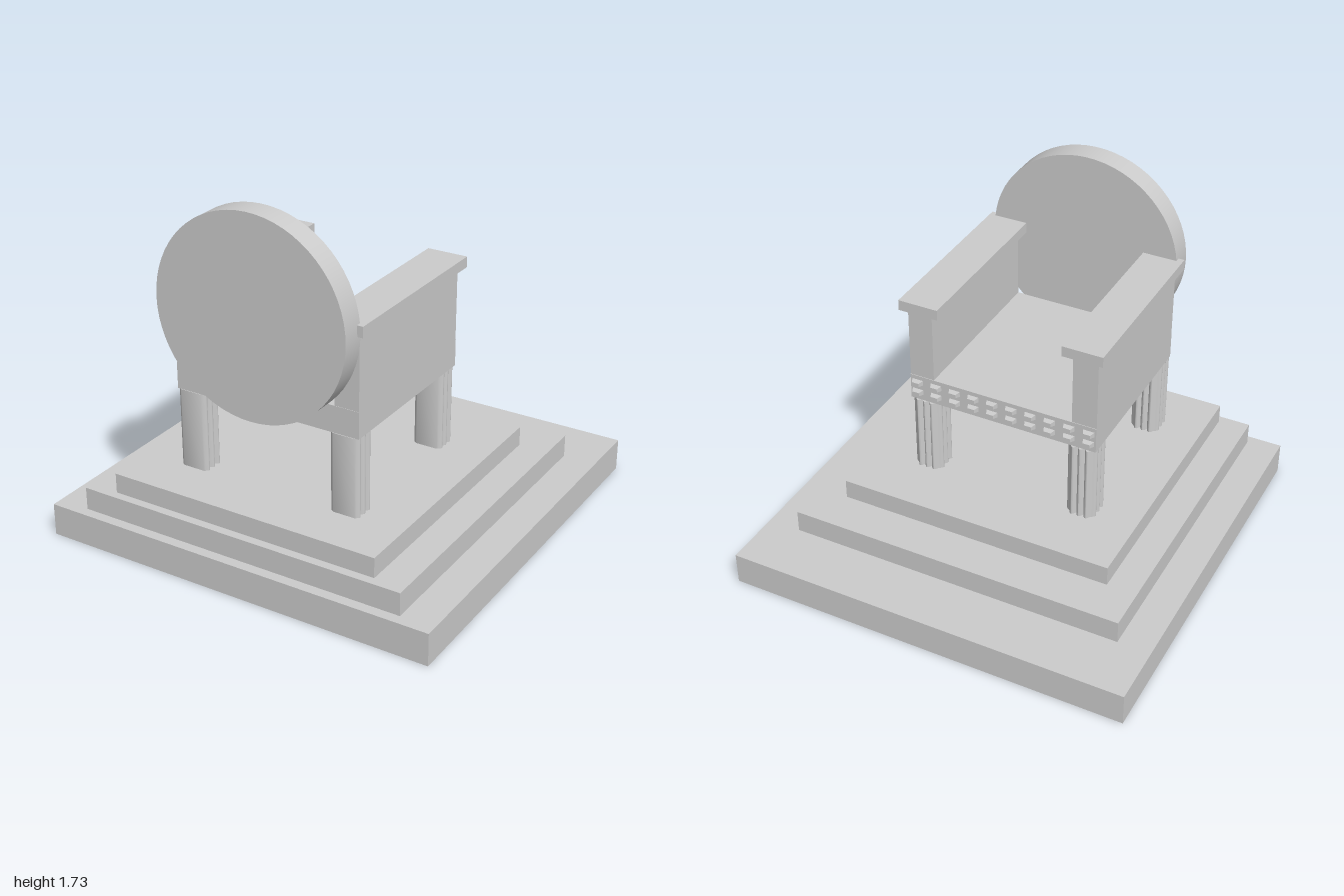
import * as THREE from 'three';
import { toCreasedNormals } from 'three/addons/utils/BufferGeometryUtils.js';

const material = new THREE.MeshStandardMaterial({ color: 0xcccccc });

function add(parent, name, geometry, x = 0, y = 0, z = 0) {
  const mesh = new THREE.Mesh(geometry, material);
  mesh.name = name;
  mesh.position.set(x, y, z);
  parent.add(mesh);
  return mesh;
}

// Box given by its limits on each axis
function slab(parent, name, [x0, x1], [y0, y1], [z0, z1]) {
  return add(parent, name, new THREE.BoxGeometry(x1 - x0, y1 - y0, z1 - z0),
    (x0 + x1) / 2, (y0 + y1) / 2, (z0 + z1) / 2);
}

// Square post with rounded reeds on three sides and a plain +z face
function reededPost(width, depth, height) {
  const bulge = 0.02, reeds = 3, steps = 8;
  const a = width / 2 - bulge, bottom = -depth / 2, top = depth / 2 - bulge;
  const corners = [[a, bottom], [a, top], [-a, top], [-a, bottom]];
  const points = [];
  for (let side = 0; side < 3; side++) {
    const [x0, y0] = corners[side], [x1, y1] = corners[side + 1];
    const length = Math.hypot(x1 - x0, y1 - y0);
    const nx = (y1 - y0) / length, ny = -(x1 - x0) / length;
    for (let i = 0; i < reeds * steps; i++) {
      const t = i / (reeds * steps);
      const out = bulge * Math.abs(Math.sin(t * reeds * Math.PI));
      points.push(new THREE.Vector2(x0 + (x1 - x0) * t + nx * out, y0 + (y1 - y0) * t + ny * out));
    }
  }
  points.push(new THREE.Vector2(-a, bottom));
  const geometry = new THREE.ExtrudeGeometry(new THREE.Shape(points), { depth: height, bevelEnabled: false });
  geometry.rotateX(-Math.PI / 2);
  return toCreasedNormals(geometry, 0.9);
}

export function createModel() {
  const model = new THREE.Group();
  model.name = 'throne';
  const cx = -0.0125; // the chair sits slightly off the middle of the dais

  // Stepped dais
  const dais = new THREE.Group();
  dais.name = 'dais';
  model.add(dais);
  slab(dais, 'lowerStep', [-1, 1], [0, 0.16], [-0.985, 0.985]);
  slab(dais, 'middleStep', [-0.838, 0.835], [0.16, 0.272], [-0.695, 0.935]);
  slab(dais, 'upperStep', [-0.69, 0.685], [0.272, 0.37], [-0.49, 0.893]);

  const chair = new THREE.Group();
  chair.name = 'chair';
  model.add(chair);

  // Legs
  const legGeometry = reededPost(0.148, 0.137, 0.39);
  for (const side of [-1, 1]) {
    add(chair, 'frontLeg', legGeometry, cx + side * 0.404, 0.37, -0.153);
    add(chair, 'backLeg', legGeometry, cx + side * 0.404, 0.37, 0.592);
  }

  // Seat
  slab(chair, 'seat', [cx - 0.478, cx + 0.478], [0.76, 0.89], [-0.21, 0.657]);

  // Two rows of tapered studs along the seat edge
  const studGeometry = new THREE.CylinderGeometry(0.6, 1, 1, 4, 1, false, Math.PI / 4);
  studGeometry.rotateX(-Math.PI / 2);
  studGeometry.scale(0.042, 0.02, 0.03);
  const studs = new THREE.Group();
  studs.name = 'studs';
  chair.add(studs);
  for (const y of [0.803, 0.856]) {
    for (let i = 0; i < 10; i++) {
      add(studs, 'stud', toCreasedNormals(studGeometry, 0.3), cx + (i - 4.5) * 0.098, y, -0.22);
    }
  }

  // Side panels and overhanging armrests
  for (const side of [-1, 1]) {
    const span = (inner, outer) => [cx + side * inner, cx + side * outer].sort((p, q) => p - q);
    slab(chair, 'armPanel', span(0.355, 0.478), [0.89, 1.25], [-0.207, 0.655]);
    slab(chair, 'armrest', span(0.31, 0.51), [1.25, 1.302], [-0.235, 0.68]);
  }

  // Round backrest
  const disc = new THREE.CylinderGeometry(0.483, 0.483, 0.117, 64);
  disc.rotateX(Math.PI / 2);
  add(chair, 'backrest', disc, cx, 1.25, 0.713);

  return model;
}
